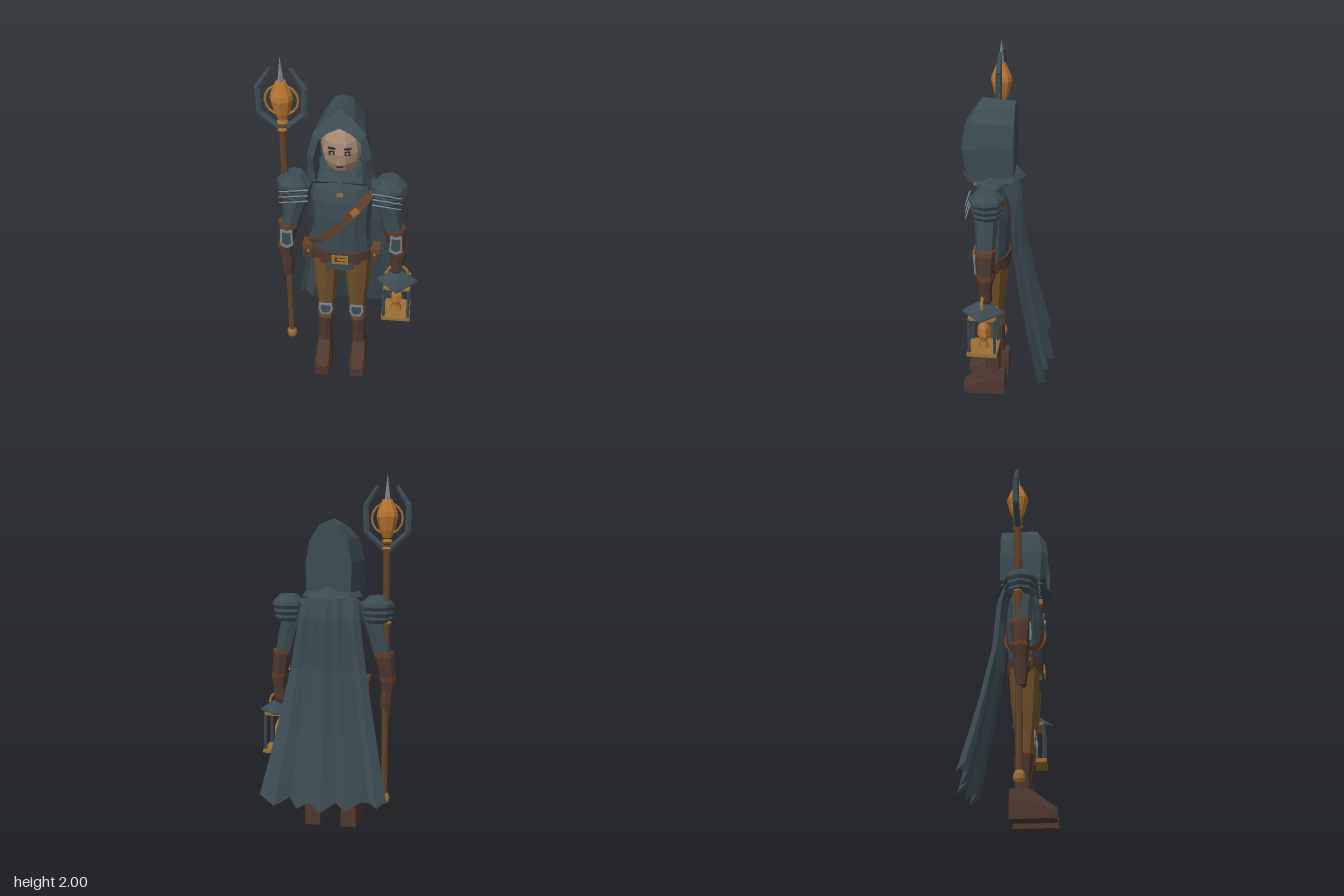
import * as THREE from 'three';

const mat = (name, color, side = THREE.FrontSide) => {
  const m = new THREE.MeshStandardMaterial({ color, flatShading: true, side });
  m.name = name;
  return m;
};
const slate = mat('slateCloth', 0x3c4c53, THREE.DoubleSide);
const tan = mat('tanTrousers', 0x70502a);
const leather = mat('darkLeather', 0x4d382f);
const strapBrown = mat('strapBrown', 0x664028);
const wood = mat('staffWood', 0x5e422b);
const gold = mat('brass', 0x9c7033);
const amber = mat('amber', 0xb87430);
const steel = mat('steel', 0x76838b);
const skin = mat('skin', 0xa98a74);
const ink = mat('darkFeatures', 0x352d2b);

function add(parent, name, geo, material, x = 0, y = 0, z = 0) {
  const m = new THREE.Mesh(geo, material);
  m.name = name;
  m.position.set(x, y, z);
  parent.add(m);
  return m;
}
const box = (w, h, d) => new THREE.BoxGeometry(w, h, d);

// Skin a list of equal-length cross-sections
function loft(rings, { closed = true, caps = true } = {}) {
  const p = [], n = rings[0].length;
  const tri = (...v) => v.forEach((q) => p.push(...q));
  for (let j = 0; j < rings.length - 1; j++) {
    for (let i = 0; i < (closed ? n : n - 1); i++) {
      const k = (i + 1) % n, a = rings[j], b = rings[j + 1];
      tri(a[i], a[k], b[k]);
      tri(a[i], b[k], b[i]);
    }
  }
  if (caps) {
    const a = rings[0], b = rings[rings.length - 1];
    for (let i = 1; i < n - 1; i++) {
      tri(a[0], a[i + 1], a[i]);
      tri(b[0], b[i], b[i + 1]);
    }
  }
  const g = new THREE.BufferGeometry();
  g.setAttribute('position', new THREE.Float32BufferAttribute(p, 3));
  g.computeVertexNormals();
  return g;
}
// Horizontal oval section, and limbs made of them, listed from the bottom up
const oval = ([x, y, z, rx, rz], n) => Array.from({ length: n }, (_, i) => {
  const a = (i / n) * Math.PI * 2;
  return [x + rx * Math.sin(a), y, z + rz * Math.cos(a)];
});
const limb = (sections, n = 8) => loft(sections.map((s) => oval(s, n)));
const turned = (profile, x, z, n = 8) => limb(profile.map(([r, y]) => [x, y, z, r, r]), n);

// Straight rod between two points
function bar(parent, name, a, b, r0, r1, n, material) {
  const A = new THREE.Vector3(...a), B = new THREE.Vector3(...b), d = B.clone().sub(A);
  const m = add(parent, name, new THREE.CylinderGeometry(r1, r0, d.length(), n), material);
  m.position.copy(A).add(B).multiplyScalar(0.5);
  m.quaternion.setFromUnitVectors(new THREE.Vector3(0, 1, 0), d.normalize());
}
// Thin plate from an outline
function plate(points, hole) {
  const s = new THREE.Shape(points.map((q) => new THREE.Vector2(...q)));
  if (hole) s.holes.push(new THREE.Path(hole.map((q) => new THREE.Vector2(...q))));
  return new THREE.ExtrudeGeometry(s, { depth: 0.008, bevelEnabled: false });
}
const scaled = (pts, k) => pts.map(([x, y]) => [x * k, y * k]);

function buildHead(g) {
  const head = add(g, 'head', new THREE.SphereGeometry(1, 10, 8), skin, 0, 1.53, 0.09);
  head.scale.set(0.108, 0.16, 0.12);
  for (const s of [-1, 1]) {
    add(g, 'eye', box(0.03, 0.022, 0.009), ink, s * 0.04, 1.54, 0.2);
    add(g, 'iris', box(0.012, 0.014, 0.004), steel, s * 0.04, 1.54, 0.206);
    add(g, 'brow', box(0.038, 0.009, 0.009), ink, s * 0.041, 1.567, 0.2).rotation.z = s * 0.12;
  }
  add(g, 'nose', new THREE.ConeGeometry(0.016, 0.06, 4), skin, 0, 1.51, 0.214);
  add(g, 'mouth', box(0.035, 0.007, 0.009), ink, 0, 1.452, 0.192);

  // Hood: sections run from the flat back to the brim, then turn inside
  const half = (pts) => [...pts, ...pts.slice(1).reverse().map(([x, y, z]) => [-x, y, z])];
  const hood = [
    [[0, 1.75, -0.03], [0.05, 1.735, -0.03], [0.105, 1.65, -0.03], [0.128, 1.53, -0.03], [0.125, 1.37, -0.03]],
    [[0, 1.765, 0.145], [0.078, 1.715, 0.18], [0.132, 1.655, 0.2], [0.165, 1.53, 0.21], [0.165, 1.35, 0.2]],
    [[0, 1.685, 0.205], [0.06, 1.665, 0.222], [0.105, 1.625, 0.232], [0.132, 1.52, 0.245], [0.118, 1.38, 0.23]],
    [[0, 1.68, 0.1], [0.06, 1.66, 0.1], [0.1, 1.62, 0.1], [0.12, 1.52, 0.1], [0.115, 1.38, 0.1]],
  ];
  // Brim order is reversed to run counter-clockwise from the front
  const rings = hood.map((r) => half(r).reverse());
  add(g, 'hood', loft(rings, { caps: false }), slate);
  add(g, 'hoodBack', loft([rings[0], rings[0].map(([x, y, z]) => [x, y, z + 0.005])]), slate);
  add(g, 'cowl', limb([[0, 1.335, 0.088, 0.175, 0.174], [0, 1.36, 0.09, 0.155, 0.155], [0, 1.405, 0.09, 0.11, 0.115]]), slate);
}

function buildTorso(g) {
  add(g, 'tunic', limb([
    [0, 0.78, 0.1, 0.16, 0.085], [0, 0.9, 0.1, 0.17, 0.092], [0, 1.0, 0.1, 0.157, 0.1],
    [0, 1.12, 0.1, 0.16, 0.11], [0, 1.22, 0.1, 0.172, 0.1], [0, 1.3, 0.095, 0.165, 0.085], [0, 1.37, 0.09, 0.08, 0.07],
  ], 12), slate);
  add(g, 'collar', limb([[0, 1.3, 0.095, 0.135, 0.1], [0, 1.345, 0.095, 0.12, 0.1]]), slate);
  add(g, 'neckClasp', box(0.035, 0.03, 0.02), gold, 0, 1.285, 0.192);
  add(g, 'belt', limb([[0, 0.805, 0.1, 0.178, 0.1], [0, 0.885, 0.1, 0.18, 0.103]], 12), leather);
  const b = [[-0.045, -0.028], [0.045, -0.028], [0.045, 0.028], [-0.045, 0.028]];
  add(g, 'buckle', plate(b, scaled(b, 0.66)), gold, 0, 0.85, 0.202);
  add(g, 'buckleTongue', box(0.05, 0.01, 0.009), gold, 0.01, 0.85, 0.206);
  add(g, 'tunicHem', box(0.15, 0.045, 0.02), slate, 0, 0.795, 0.185);
  for (const s of [-1, 1]) {
    add(g, 'pouch', box(0.06, 0.085, 0.07), leather, s * 0.185, 0.835, 0.1);
    add(g, 'pouchFlap', box(0.064, 0.03, 0.075), strapBrown, s * 0.185, 0.87, 0.1);
    add(g, 'pouchStud', box(0.014, 0.014, 0.009), gold, s * 0.185, 0.848, 0.139);
  }
  // Shoulder strap, a flat band looped around the chest
  const rings = Array.from({ length: 25 }, (_, i) => {
    const a = (i / 24) * Math.PI * 2, s = Math.sin(a), c = Math.cos(a);
    return [[1, 1], [1, -1], [-1, -1], [-1, 1]].map(([w, r]) => [
      s * (0.167 + r * 0.006) - w * 0.014, 1.09 + 0.19 * s + w * 0.013, 0.1 + c * (0.113 + r * 0.006)]);
  });
  add(g, 'shoulderStrap', loft(rings, { caps: false }), strapBrown).material = strapBrown;
  add(g, 'strapBuckle', box(0.045, 0.035, 0.012), gold, 0.08, 1.182, 0.208).rotation.z = 0.8;
}

function buildArm(g, s) {
  const arm = (name, list, m) => add(g, name, limb(list.map(([x, y, r]) => [s * x, y, 0.1, r, r])), m);
  arm('sleeve', [[0.285, 1.0, 0.052], [0.262, 1.1, 0.058], [0.235, 1.2, 0.066], [0.205, 1.3, 0.06]], slate);
  arm('bracer', [[0.319, 0.83, 0.042], [0.306, 0.93, 0.05], [0.292, 1.02, 0.056]], leather);
  arm('bracerBand', [[0.294, 0.995, 0.058], [0.292, 1.02, 0.06]], strapBrown);
  arm('bracerBand', [[0.315, 0.86, 0.047], [0.312, 0.88, 0.05]], strapBrown);
  arm('glove', [[0.31, s > 0 ? 0.7 : 0.645, 0.026], [0.308, 0.73, 0.038], [0.315, 0.79, 0.036], [0.32, 0.85, 0.044]], leather);
  const shield = [[-0.032, 0.062], [-0.036, -0.045], [0, -0.065], [0.036, -0.045], [0.032, 0.062], [0, 0.052]];
  add(g, 'bracerRim', plate(shield, scaled(shield, 0.72)), steel, s * 0.302, 0.935, 0.148);
  add(g, 'bracerPlate', plate(scaled(shield, 0.72)), slate, s * 0.302, 0.935, 0.147);

  // Layered pauldron with thin edge rods
  [[1.19, 0.068, 0.082], [1.225, 0.078, 0.09], [1.26, 0.085, 0.097]].forEach(([y, r0, r1], i) => {
    const top = i === 2 ? [[r1 * 0.95, 1.3], [0.05, 1.34]] : [[r1 * 0.9, y + 0.05]];
    add(g, 'pauldronLayer', turned([[r0, y], [r1, y + 0.02], ...top], s * 0.255, 0.095), slate);
    bar(g, 'pauldronRod', [s * 0.17, y + 0.038, 0.197], [s * 0.325, y + 0.018, 0.197], 0.005, 0.003, 5, steel);
  });
}

function buildLeg(g, s) {
  add(g, 'trouserLeg', limb([[s * 0.095, 0.33, 0.095, 0.045, 0.045], [s * 0.09, 0.45, 0.1, 0.048, 0.05],
    [s * 0.09, 0.62, 0.1, 0.066, 0.07], [s * 0.088, 0.82, 0.1, 0.082, 0.085]]), tan);
  add(g, 'bootShaft', limb([[s * 0.102, 0.13, 0.085, 0.042, 0.045], [s * 0.1, 0.24, 0.09, 0.04, 0.043], [s * 0.095, 0.345, 0.095, 0.05, 0.051]]), leather);
  // Foot: sections along the sole, heel to toe
  const foot = [[0.02, 0.045, 0.16], [0.13, 0.05, 0.155], [0.22, 0.052, 0.085], [0.262, 0.04, 0.06]].map(([z, w, h]) =>
    [[-w, 0], [w, 0], [w * 0.98, h * 0.6], [w * 0.72, h], [-w * 0.72, h], [-w * 0.98, h * 0.6]].map(([x, y]) => [s * 0.105 + x, y, z]));
  add(g, 'boot', loft(foot), leather);
  const pad = [[-0.038, 0.04], [-0.042, -0.005], [-0.022, -0.042], [0.022, -0.042], [0.042, -0.005], [0.038, 0.04]];
  add(g, 'kneeRim', plate(pad, scaled(pad, 0.7)), steel, s * 0.09, 0.435, 0.15);
  add(g, 'kneePlate', plate(scaled(pad, 0.7)), slate, s * 0.09, 0.435, 0.149);
}

function buildCape(g) {
  // Hem points [x, y, z], folded to the spread of the pleats
  const hem = [[-0.35, 0.24, -0.175], [-0.305, 0.21, -0.225], [-0.265, 0.24, -0.225], [-0.21, 0.225, -0.18],
    [-0.13, 0.185, -0.235], [-0.075, 0.22, -0.2], [0, 0.18, -0.265], [0.07, 0.22, -0.22],
    [0.14, 0.185, -0.24], [0.19, 0.23, -0.185], [0.27, 0.19, -0.235], [0.36, 0.24, -0.195]];
  const fall = [[0, 0], [0.1, 0.17], [0.35, 0.26], [0.63, 0.54], [0.82, 0.77], [1, 1]];
  const rows = fall.map(([t, f]) => hem.map(([x, y, z], i) => {
    const u = (i / 11) * 2 - 1, x0 = u * 0.16, z0 = 0.03 * u * u - 0.022 + (z > -0.223 ? 0.01 : -0.006);
    return [x0 + (x - x0) * t ** 1.25, 1.33 + (y - 1.33) * t, z0 + (z - z0) * f];
  }));
  add(g, 'cape', loft(rows, { closed: false, caps: false }), slate);
}

function buildStaff(g) {
  const X = -0.305, Z = 0.087;
  add(g, 'staffShaft', turned([[0.019, 0.18], [0.021, 1.62]], X, Z), wood);
  add(g, 'staffFoot', turned([[0.02, 0.138], [0.03, 0.155], [0.03, 0.18], [0.021, 0.2]], X, Z), gold);
  for (const y of [1.19, 1.6, 1.64]) add(g, 'staffCollar', turned([[0.023, y - 0.012], [0.032, y], [0.023, y + 0.012]], X, Z), gold);
  add(g, 'gem', turned([[0.025, 1.66], [0.042, 1.7], [0.06, 1.775], [0.056, 1.8], [0.026, 1.87]], X, Z), amber);
  add(g, 'gemRing', new THREE.TorusGeometry(0.085, 0.007, 5, 16), gold, X, 1.765, Z);
  bar(g, 'staffSpike', [X, 1.87, Z], [X, 2, Z], 0.017, 0.001, 6, steel);
  for (const s of [-1, 1]) {
    const path = [[0.015, 1.6], [0.115, 1.69], [0.118, 1.835], [0.052, 1.94]];
    for (let i = 0; i < 3; i++) {
      const [a, b] = [path[i], path[i + 1]];
      bar(g, 'staffProng', [X + s * a[0], a[1], Z], [X + s * b[0], b[1], Z], 0.018, i === 2 ? 0.011 : 0.018, 6, slate);
    }
  }
}

function buildLantern(g) {
  const X = 0.318, Z = 0.112;
  add(g, 'lanternRoof', turned([[0.118, 0.65], [0.112, 0.662], [0.062, 0.695], [0.03, 0.715]], X, Z, 4), slate);
  add(g, 'lanternTopPlate', box(0.15, 0.014, 0.15), gold, X, 0.643, Z);
  add(g, 'lanternBase', box(0.165, 0.022, 0.165), gold, X, 0.425, Z);
  for (const sx of [-1, 1]) for (const sz of [-1, 1]) {
    bar(g, 'lanternPost', [X + sx * 0.07, 0.43, Z + sz * 0.07], [X + sx * 0.07, 0.645, Z + sz * 0.07], 0.009, 0.009, 4, slate);
  }
  add(g, 'candleHolder', turned([[0.035, 0.435], [0.022, 0.475]], X, Z, 6), gold);
  add(g, 'flame', turned([[0.015, 0.465], [0.034, 0.51], [0.032, 0.56], [0.006, 0.61]], X, Z, 6), amber);
  add(g, 'lanternHandle', new THREE.TorusGeometry(0.06, 0.008, 5, 10, Math.PI), gold, X, 0.7, Z);
}

export function createModel() {
  const root = new THREE.Group();
  root.name = 'hoodedTraveller';
  const part = (name, build, ...args) => {
    const g = new THREE.Group();
    g.name = name;
    build(g, ...args);
    root.add(g);
  };
  part('hoodedHead', buildHead);
  part('torso', buildTorso);
  for (const [side, s] of [['left', 1], ['right', -1]]) {
    part(side + 'Arm', buildArm, s);
    part(side + 'Leg', buildLeg, s);
  }
  part('pleatedCape', buildCape);
  part('staff', buildStaff);
  part('lantern', buildLantern);
  return root;
}
